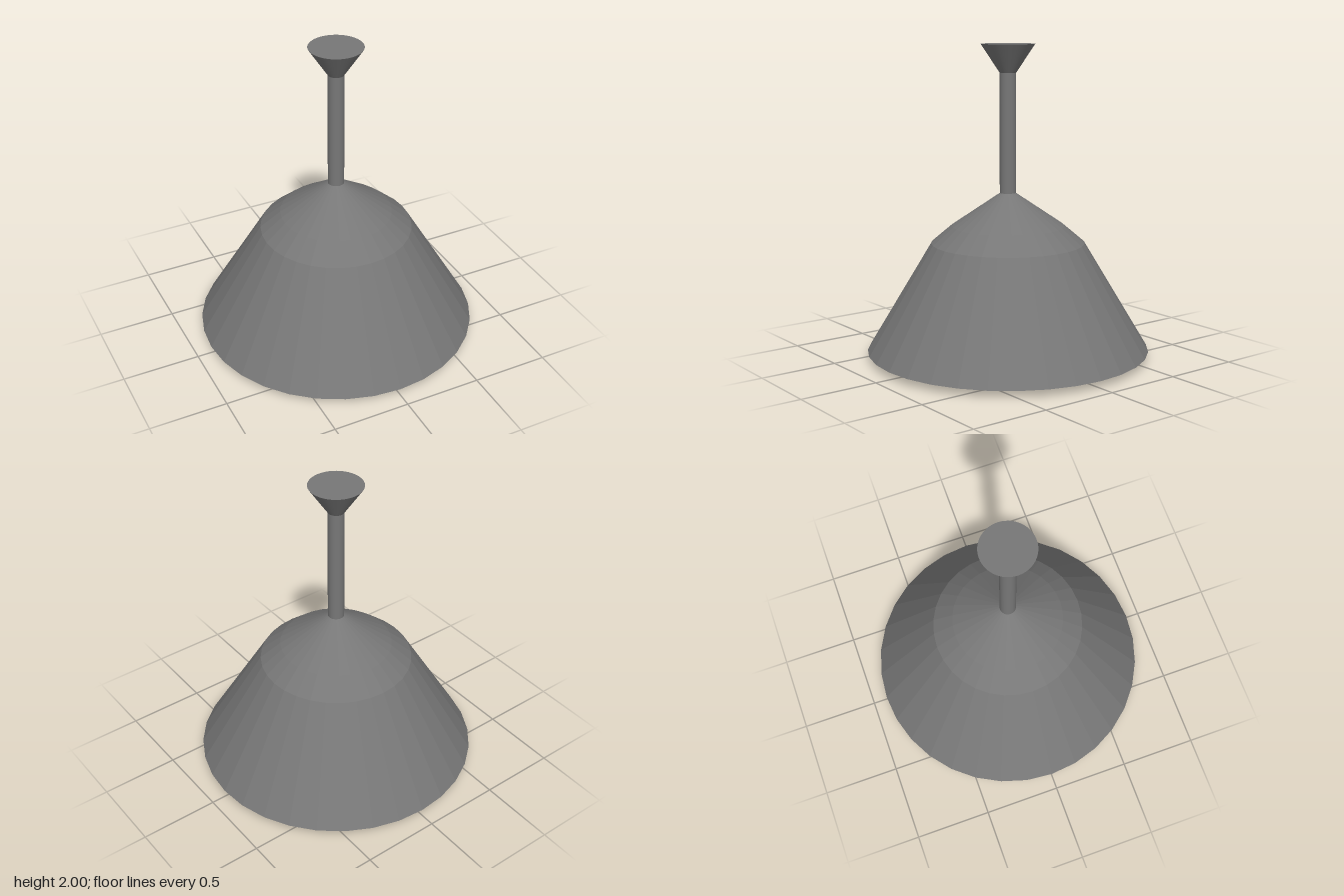
import * as THREE from 'three';

const shell = new THREE.MeshStandardMaterial({ color: 0x777777, side: THREE.DoubleSide });
const facetedShell = new THREE.MeshStandardMaterial({ color: 0x777777, side: THREE.DoubleSide, flatShading: true });
const pale = new THREE.MeshStandardMaterial({ color: 0xcccccc, side: THREE.DoubleSide });

export function createModel() {
  const lamp = new THREE.Group();
  lamp.name = 'pendantLamp';

  const add = (name, geometry, material, y = 0) => {
    const mesh = new THREE.Mesh(geometry, material);
    mesh.name = name;
    mesh.position.y = y;
    lamp.add(mesh);
  };
  // Cylinder or cone frustum given by its lower and upper heights
  const frustum = (name, rBottom, rTop, y0, y1, sides, material, open = false) =>
    add(name, new THREE.CylinderGeometry(rTop, rBottom, y1 - y0, sides, 1, open), material, (y0 + y1) / 2);
  // Turned part from [radius, height] pairs, listed from the bottom up
  const turned = (name, profile, sides, material) =>
    add(name, new THREE.LatheGeometry(profile.map(([r, y]) => new THREE.Vector2(r, y)), sides), material);

  // Ceiling mount and hanging rod
  frustum('ceilingMount', 0.052, 0.171, 1.82, 2, 48, shell);
  frustum('rod', 0.052, 0.052, 1.06, 1.82, 32, shell, true);

  // Faceted shade: flared skirt rising into a shallow dome
  turned('shade', [[0.905, 0.046], [0.49, 0.74], [0.36, 0.85], [0.05, 1.06], [0, 1.06]], 32, facetedShell);

  // Thin plate inside the shade that carries the bulb
  frustum('bulbPlate', 0.52, 0.52, 0.355, 0.365, 64, shell);

  // Bulb: pointed tip, collar, tapering body and socket neck
  turned('bulbTip', [[0, 0], [0.105, 0.075]], 32, pale);
  frustum('bulbCollar', 0.105, 0.105, 0.075, 0.1, 32, pale, true);
  turned('bulbBody', [[0.105, 0.1], [0.101, 0.14], [0.09, 0.19], [0.072, 0.25], [0.046, 0.31], [0.02, 0.34]], 32, pale);
  frustum('bulbNeck', 0.025, 0.025, 0.335, 0.357, 24, pale);

  return lamp;
}
